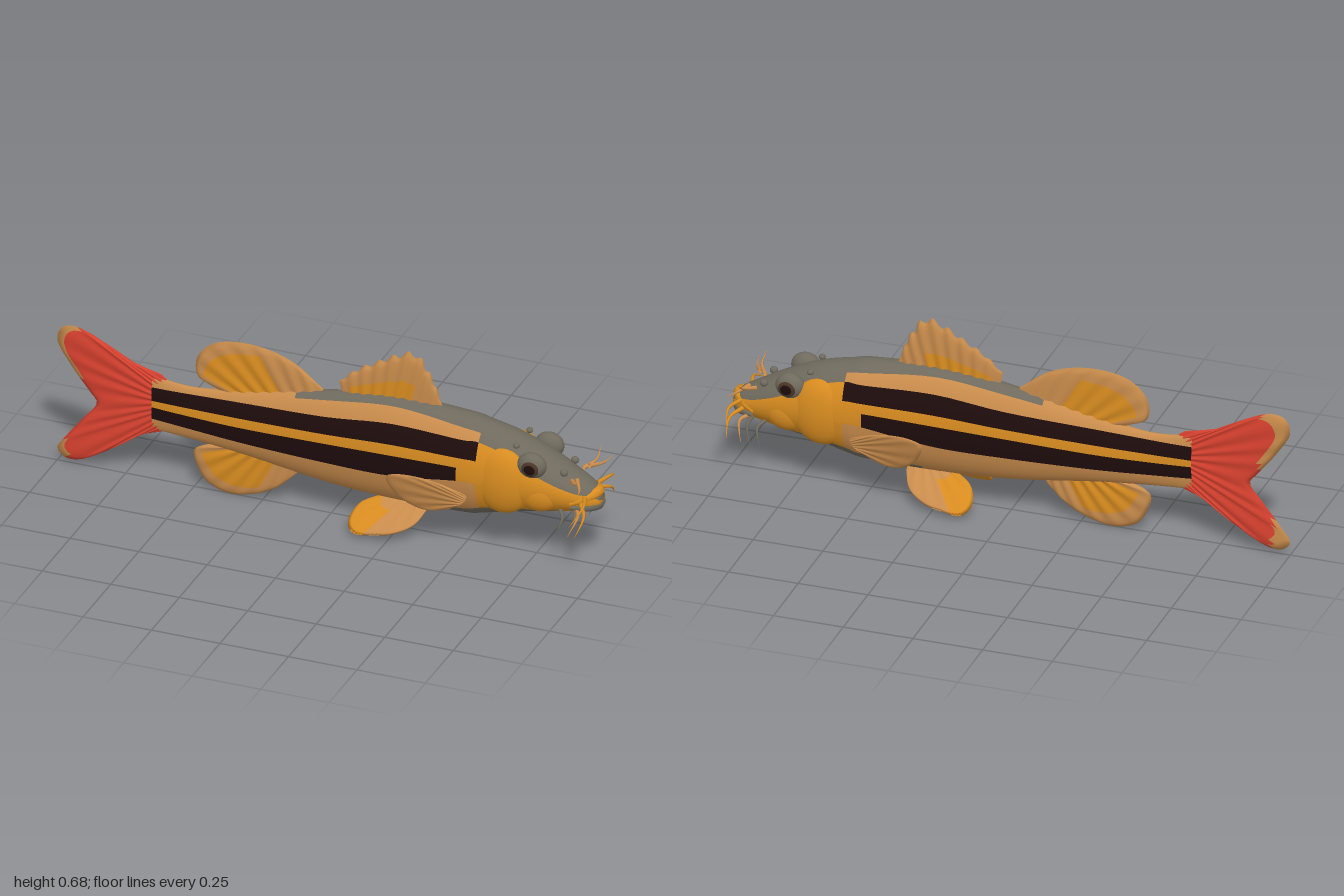
import * as THREE from 'three';

const mat = (name, color) => {
  const m = new THREE.MeshStandardMaterial({ color, side: THREE.DoubleSide });
  m.name = name;
  return m;
};

// Body stations: x, top, bottom, half width, then heights of the six colour borders
const STATIONS = [
  [-.65, .40, .195, .016, .21, .24, .285, .31, .36, .385],
  [-.5, .385, .185, .03, .20, .235, .285, .315, .365, .378],
  [-.3, .415, .165, .05, .18, .23, .29, .325, .38, .405],
  [0, .475, .125, .08, .15, .235, .31, .345, .405, .455],
  [.25, .505, .113, .1, .14, .245, .325, .365, .435, .485],
  [.5, .492, .118, .113, .16, .285, .335, .37, .43, .465],
  [.57, .478, .13, .115, .18, .285, .33, .37, .43, .455],
  [.68, .45, .16, .113, .20, .27, .31, .35, .40, .43],
  [.8, .40, .185, .1, .205, .25, .28, .31, .34, .36],
  [.9, .345, .205, .077, .215, .24, .26, .28, .30, .315],
  [.96, .31, .215, .055, .22, .24, .255, .27, .285, .295],
  [.99, .28, .235, .025, .24, .25, .255, .26, .265, .27],
];

// Grid of points to a smooth geometry, one material index per cell
function gridGeometry(points, cols, rows, cellMaterial) {
  const geo = new THREE.BufferGeometry();
  geo.setAttribute('position', new THREE.Float32BufferAttribute(points, 3));
  const lists = [];
  for (let i = 0; i < cols - 1; i++) for (let j = 0; j < rows - 1; j++) {
    const a = i * rows + j, b = a + rows, k = cellMaterial(i, j);
    (lists[k] ??= []).push(a, b, b + 1, a, b + 1, a + 1);
  }
  const index = [];
  lists.forEach((l, k) => {
    geo.addGroup(index.length, l.length, k);
    for (const v of l) index.push(v);
  });
  geo.setIndex(index);
  geo.computeVertexNormals();
  return geo;
}

function bodyGeometry() {
  const SUB = 5, BAND = 4, n = STATIONS.length - 1, pts = [], xs = [];
  const at = (s, k) => {
    const i = Math.min(n - 1, Math.floor(s)), t = s - i;
    const p = d => STATIONS[Math.max(0, Math.min(n, i + d))][k];
    const m0 = (p(1) - p(-1)) / 2, m1 = (p(2) - p(0)) / 2, t2 = t * t, t3 = t2 * t;
    return (2 * t3 - 3 * t2 + 1) * p(0) + (t3 - 2 * t2 + t) * m0 + (3 * t2 - 2 * t3) * p(1) + (t3 - t2) * m1;
  };
  const rows = 2 * 7 * BAND + 1;
  for (let i = 0; i <= n * SUB + 1; i++) {
    const s = Math.min(n, i / SUB), close = i > n * SUB ? 0 : 1;
    const x = at(s, 0) + (close ? 0 : .004);
    const c = (at(s, 1) + at(s, 2)) / 2, h = (at(s, 1) - at(s, 2)) / 2, w = at(s, 3);
    const marks = [-Math.PI / 2];
    for (let k = 4; k < 10; k++) marks.push(Math.asin(THREE.MathUtils.clamp((at(s, k) - c) / h, -1, 1)));
    marks.push(Math.PI / 2);
    const half = [];
    for (let b = 0; b < 7; b++) for (let q = 0; q < BAND; q++)
      half.push(marks[b] + (marks[b + 1] - marks[b]) * q / BAND);
    const ring = [...half, Math.PI / 2, ...half.slice().reverse().map(a => Math.PI - a)];
    for (const a of ring) pts.push(x, c + close * h * Math.sin(a), close * w * Math.cos(a));
    xs.push(x);
  }
  // Materials: 0 tan, 1 orange, 2 black, 3 grey
  return gridGeometry(pts, xs.length, rows, (i, j) => {
    const x = (xs[i] + xs[i + 1]) / 2;
    const band = Math.floor((j < 7 * BAND ? j : 14 * BAND - 1 - j) / BAND);
    if (band === 0) return x > .3 ? 3 : 0;
    if (band === 6) return x > -.1 ? 3 : 0;
    if (band === 5) return x > .57 ? 3 : 0;
    if (x > .57) return 1;
    if (band === 4) return 2;
    if (band === 3) return 1;
    if (band === 2) return x < .5 ? 2 : 1;
    return 0;
  });
}

// Ribbed fin spanned between a base line and a tip line, thinning to its edges
function finGeometry({ base, tip, thick, rays, notch = 0, side = 1, z = () => 0, paint = () => 0 }) {
  const curve = p => new THREE.CatmullRomCurve3(p.map(q => new THREE.Vector3(q[0], q[1], 0)), false, 'centripetal');
  const b = curve(base), t = curve(tip), N = rays * 6, M = 14, pts = [], paints = [];
  for (let i = 0; i <= N; i++) {
    const u = i / N, wave = Math.cos(2 * Math.PI * rays * u);
    const p0 = b.getPointAt(u), p1 = t.getPointAt(u).lerp(p0, notch * (.5 - .5 * wave));
    const loop = [], loopPaint = [];
    for (let j = 0; j <= 2 * M; j++) {
      const v = 1 - Math.abs(j / M - 1), p = p0.clone().lerp(p1, v);
      const edge = Math.sqrt(Math.max(0, 1 - v ** 5)) * Math.min(1, Math.sqrt(Math.sin(Math.PI * u) + 1e-9) * 1.4);
      const half = thick * edge * (.8 + .2 * wave) * (j < M ? 1 : -1);
      loop.push(p.x, p.y, side * z(p.x, p.y) + half);
      loopPaint.push(paint(u, v, p.x, p.y));
    }
    pts.push(...loop);
    paints.push(loopPaint);
  }
  return gridGeometry(pts, N + 1, 2 * M + 1, (i, j) => paints[i][j]);
}

// Tube whose radius follows a rule along its length
function taperTube(points, radius, rule) {
  const curve = new THREE.CatmullRomCurve3(points.map(p => new THREE.Vector3(...p)));
  const seg = 24, rad = 8, geo = new THREE.TubeGeometry(curve, seg, radius, rad);
  const pos = geo.attributes.position, v = new THREE.Vector3();
  for (let i = 0; i <= seg; i++) {
    const c = curve.getPointAt(i / seg);
    for (let j = 0; j <= rad; j++) {
      const k = i * (rad + 1) + j;
      v.fromBufferAttribute(pos, k).sub(c).multiplyScalar(rule(i / seg)).add(c);
      pos.setXYZ(k, v.x, v.y, v.z);
    }
  }
  geo.computeVertexNormals();
  return geo;
}

export function createModel() {
  const tan = mat('tan', 0xc98c4c), orange = mat('orange', 0xd88c20), black = mat('stripe black', 0x1e0c0c);
  const grey = mat('grey', 0x6f6a5d), red = mat('tail red', 0xd8412f), brown = mat('eye brown', 0x4a3626);
  const fish = new THREE.Group();
  fish.name = 'fish';
  const add = (name, geo, material) => {
    const m = new THREE.Mesh(geo, material);
    m.name = name;
    fish.add(m);
    return m;
  };
  const ball = (name, material, [x, y, z], [sx, sy, sz]) => {
    const m = add(name, new THREE.SphereGeometry(1, 28, 18), material);
    m.position.set(x, y, z);
    m.scale.set(sx, sy, sz);
    return m;
  };
  const finMats = [tan, orange];

  add('body', bodyGeometry(), [tan, orange, black, grey]);

  // Fins on the centre line
  add('dorsalFin', finGeometry({
    base: [[.41, .48], [.25, .49], [.04, .47]],
    tip: [[.405, .5], [.37, .6], [.31, .685], [.25, .67], [.17, .625], [.09, .575], [.03, .52]],
    thick: .015, rays: 9, notch: .12, paint: (u, v) => (u > .3 && u < .9 && v < .4 ? 1 : 0),
  }), finMats);
  add('rearDorsalFin', finGeometry({
    base: [[-.02, .455], [-.2, .42], [-.4, .385]],
    tip: [[-.03, .475], [-.15, .56], [-.3, .592], [-.43, .567], [-.49, .5], [-.485, .43], [-.42, .402]],
    thick: .014, rays: 8, paint: (u, v) => (u > .4 && u < .85 && v < .72 ? 1 : 0),
  }), finMats);
  add('analFin', finGeometry({
    base: [[-.11, .16], [-.25, .175], [-.4, .19]],
    tip: [[-.125, .13], [-.2, .06], [-.28, .02], [-.37, .004], [-.45, .03], [-.49, .09], [-.5, .145], [-.46, .172], [-.41, .182]],
    thick: .014, rays: 8, paint: (u, v) => (u > .3 && u < .8 && v < .75 ? 1 : 0),
  }), finMats);
  add('tailFin', finGeometry({
    base: [[-.6, .395], [-.64, .3], [-.6, .2]],
    tip: [[-.62, .41], [-.75, .445], [-.85, .5], [-.93, .53], [-.98, .52], [-1, .47], [-.95, .38], [-.88, .29], [-.855, .255],
      [-.9, .19], [-.97, .1], [-1, .05], [-.97, .02], [-.92, .022], [-.82, .075], [-.7, .16], [-.62, .19]],
    thick: .012, rays: 14, paint: (u, v, x, y) => (v > .9 && x < (y > .3 ? -.9 : -.95) ? 1 : 0),
  }), [red, tan]);

  for (const side of [1, -1]) {
    const tag = side > 0 ? 'left' : 'right';
    // Paired fins
    add(tag + 'PectoralFin', finGeometry({
      base: [[.54, .235], [.53, .21], [.51, .19]],
      tip: [[.53, .245], [.4, .292], [.3, .297], [.265, .28], [.29, .21], [.34, .165], [.4, .148], [.47, .165]],
      thick: .008, rays: 7, side, z: (x, y) => .112 + (.53 - x) * .13 + (y - .22) * .3,
    }), finMats);
    add(tag + 'PelvicFin', finGeometry({
      base: [[.36, .13], [.29, .135], [.21, .135]],
      tip: [[.365, .11], [.34, .07], [.28, .04], [.2, .026], [.13, .025], [.105, .05], [.125, .095], [.2, .122]],
      thick: .01, rays: 6, side, z: (x, y) => .03 + (.115 - y) * 1.2,
      paint: (u, v) => (u > .5 && v > .35 ? 1 : 0),
    }), finMats);

    // Gill cover and cheek
    ball(tag + 'GillCover', orange, [.655, .3, side * .072], [.11, .122, .05]);
    ball(tag + 'Cheek', orange, [.78, .27, side * .062], [.08, .065, .042]);

    // Eye
    ball(tag + 'Eye', grey, [.765, .383, side * .08], [.052, .046, .035]);
    ball(tag + 'Iris', brown, [.768, .381, side * .107], [.031, .028, .011]);
    ball(tag + 'Pupil', black, [.769, .381, side * .115], [.02, .018, .005]);

    // Nostril bumps
    ball(tag + 'Nostril', grey, [.87, .36, side * .05], [.014, .013, .013]);
    ball(tag + 'BrowBump', grey, [.7, .435, side * .06], [.012, .01, .012]);

    // Barbels
    const barbels = [
      [[.9, .335, .05], [.93, .352, .1], [.925, .383, .147], tan],
      [[.92, .345, .055], [.95, .337, .11], [.965, .343, .167], tan],
      [[.95, .285, .06], [.97, .283, .13], [.95, .243, .206], orange],
      [[.94, .262, .07], [.97, .243, .12], [.96, .19, .183], orange],
      [[.92, .235, .06], [.94, .228, .1], [.92, .17, .148], tan],
      [[.91, .23, .055], [.92, .2, .08], [.9, .125, .104], grey],
      [[.86, .225, .06], [.88, .205, .09], [.86, .145, .12], grey],
    ];
    barbels.forEach(([a, b, c, m], i) => add(tag + 'Barbel' + (i + 1),
      taperTube([a, b, c].map(p => [p[0], p[1], side * p[2]]), .008, t => 1.02 - t), m));
  }

  // Mouth: lips with a dark gap between
  const arc = (x, y, dy, w) => [-1, -.75, -.4, 0, .4, .75, 1].map(s => [x - .075 * s * s, y - dy * s * s, w * s]);
  const lip = t => Math.sqrt(Math.sin(Math.PI * Math.min(.97, Math.max(.03, t))));
  add('upperLip', taperTube(arc(.975, .286, .03, .074), .019, lip), orange);
  add('mouthGap', taperTube(arc(.977, .266, .012, .06), .013, lip), black);
  add('lowerLip', taperTube(arc(.978, .243, 0, .074), .02, lip), grey);
  return fish;
}
